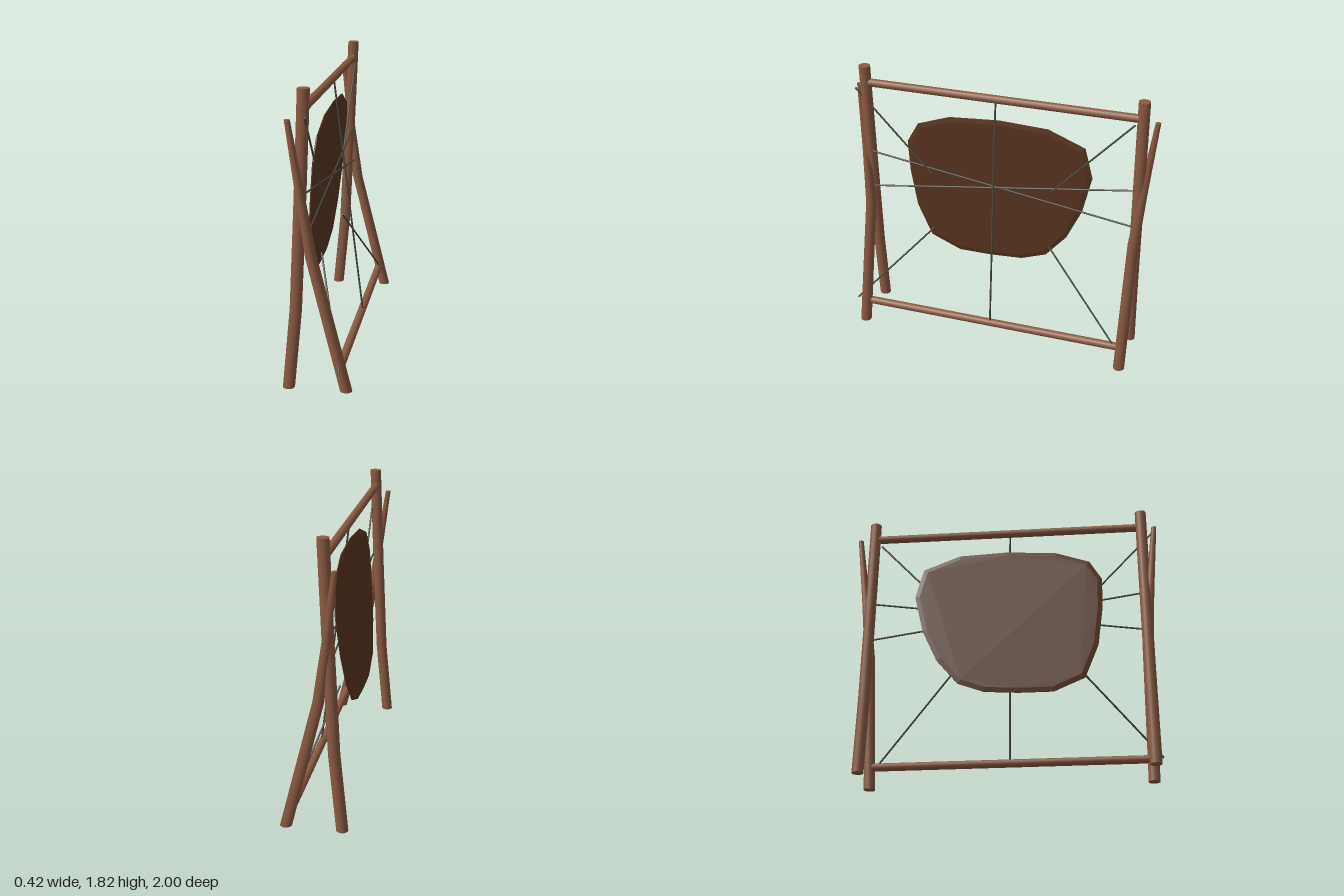
import * as THREE from 'three';

const wood = new THREE.MeshStandardMaterial({ color: 0x8b5a42 });
const cord = new THREE.MeshStandardMaterial({ color: 0x4a4a40 });
const leather = new THREE.MeshStandardMaterial({ color: 0x5a3520 });

// Bent pole: level rings at the points [x, y, z, radius], listed from the ground up
function pole(name, rings) {
  const last = rings.length - 1;
  const geo = new THREE.CylinderGeometry(1, 1, 1, 16, last);
  const pos = geo.attributes.position;
  for (let i = 0; i < pos.count; i++) {
    const [x, y, z, r] = rings[Math.round((pos.getY(i) + 0.5) * last)];
    pos.setXYZ(i, x + pos.getX(i) * r, y, z + pos.getZ(i) * r);
  }
  const mesh = new THREE.Mesh(geo, wood);
  mesh.name = name;
  return mesh;
}

// Straight round bar between two points
function bar(name, a, b, radius, material, sides) {
  const from = new THREE.Vector3(...a), to = new THREE.Vector3(...b);
  const dir = to.clone().sub(from);
  const mesh = new THREE.Mesh(new THREE.CylinderGeometry(radius, radius, dir.length(), sides), material);
  mesh.position.copy(from).add(to).multiplyScalar(0.5);
  mesh.quaternion.setFromUnitVectors(new THREE.Vector3(0, 1, 0), dir.normalize());
  mesh.name = name;
  return mesh;
}

// Stretched skin: an uneven outline, thin, leaning with the tall posts
function makeHide() {
  const outline = [
    [0.63, 1.32], [0.55, 1.46], [0.33, 1.54], [0, 1.565], [-0.32, 1.55], [-0.56, 1.45],
    [-0.61, 1.24], [-0.55, 0.98], [-0.45, 0.76], [-0.31, 0.59], [-0.14, 0.525],
    [0.08, 0.51], [0.30, 0.51], [0.50, 0.60], [0.59, 0.83], [0.625, 1.1],
  ];
  const shape = new THREE.Shape(outline.map(([z, y]) => new THREE.Vector2(-z, y)));
  const geo = new THREE.ExtrudeGeometry(shape, {
    depth: 0.006, bevelThickness: 0.007, bevelSize: 0.03, bevelOffset: -0.03, bevelSegments: 1,
  });
  geo.rotateY(Math.PI / 2);
  const pos = geo.attributes.position;
  for (let i = 0; i < pos.count; i++) {
    pos.setX(i, pos.getX(i) - 0.095 + 0.072 * (pos.getY(i) - 1.04));
  }
  geo.computeVertexNormals();
  const mesh = new THREE.Mesh(geo, leather);
  mesh.name = 'hide';
  return mesh;
}

export function createModel() {
  const model = new THREE.Group();
  model.name = 'hideStretchingRack';

  // Crossed pair of posts at each end
  for (const s of [1, -1]) {
    const end = s > 0 ? 'Front' : 'Back';
    model.add(pole('tallPost' + end, [
      [-0.175, 0, s * 0.905, 0.037], [-0.127, 0.5, s * 0.905, 0.037],
      [-0.096, 1.15, s * 0.905, 0.037], [-0.068, 1.815, s * 0.905, 0.037],
    ]));
    model.add(pole('bracePost' + end, [
      [0.172, 0, s * 0.905, 0.037], [-0.034, 0.83, s * 0.905, 0.035],
      [-0.087, 1.2, s * 0.937, 0.027], [-0.147, 1.65, s * 0.984, 0.017],
    ]));
  }

  // Cross beams
  model.add(bar('topBeam', [-0.07, 1.70, 0.89], [-0.07, 1.70, -0.89], 0.026, wood, 16));
  model.add(bar('bottomBeam', [0.13, 0.135, 0.89], [0.13, 0.135, -0.89], 0.026, wood, 16));

  model.add(makeHide());

  // Lacing: one upright cord, two crossing cords, four corner cords
  const cords = [
    [[-0.048, 1.69, 0.02], [0.138, 0.16, 0]],
    [[-0.06, 1.21, 0.88], [-0.06, 0.95, -0.88]],
    [[-0.06, 0.95, 0.88], [-0.06, 1.21, -0.88]],
    [[-0.05, 1.66, 0.97], [-0.055, 1.11, 0.46]],
    [[-0.05, 1.66, -0.86], [-0.055, 1.11, -0.35]],
    [[0.14, 0.145, 0.97], [-0.055, 0.70, 0.455]],
    [[0.14, 0.16, -0.845], [-0.055, 0.70, -0.345]],
  ];
  cords.forEach(([a, b], i) => model.add(bar('cord' + (i + 1), a, b, 0.006, cord, 8)));

  return model;
}
